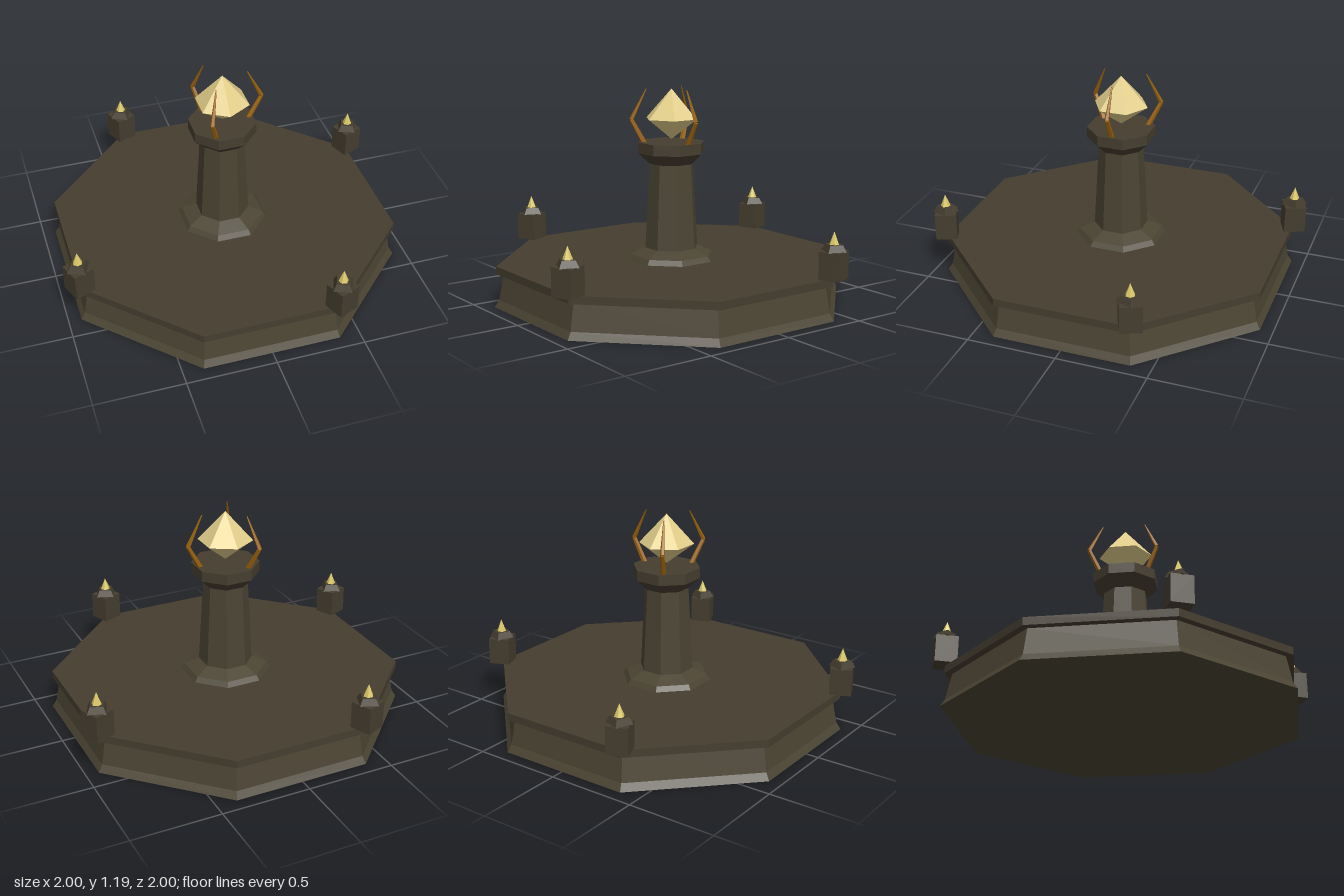
import * as THREE from 'three';

const mat = (name, color) => {
  const m = new THREE.MeshStandardMaterial({ color });
  m.name = name;
  return m;
};

// Faceted copy of a geometry
function faceted(g) {
  const f = g.index ? g.toNonIndexed() : g;
  f.computeVertexNormals();
  return f;
}

function part(name, geometry, material, parent) {
  const mesh = new THREE.Mesh(faceted(geometry), material);
  mesh.name = name;
  parent.add(mesh);
  return mesh;
}

// Solid turned from [radius, y] pairs, bottom to top
function turned(profile, sides, turn = 0) {
  const pts = profile.map(([r, y]) => new THREE.Vector2(r, y));
  return new THREE.LatheGeometry(pts, sides).rotateY(turn);
}

// Tapered square rod between two points
function rod(a, b, ra, rb) {
  const dir = b.clone().sub(a);
  const g = new THREE.CylinderGeometry(rb, ra, dir.length(), 5);
  const q = new THREE.Quaternion().setFromUnitVectors(new THREE.Vector3(0, 1, 0), dir.normalize());
  g.applyQuaternion(q);
  const mid = a.clone().add(b).multiplyScalar(0.5);
  return g.translate(mid.x, mid.y, mid.z);
}

export function createModel() {
  const model = new THREE.Group();
  model.name = 'crystalShrine';

  const stone = mat('stone', 0x4b4433);
  const darkStone = mat('darkStone', 0x453d2f);
  const crystalMat = mat('crystal', 0xe2ce8a);
  const bronze = mat('bronze', 0x9a620c);
  const glow = mat('lampGlow', 0xdcc868);
  const turn = Math.PI / 8;

  // Octagonal platform
  part('plinth', turned([[0, 0], [1.005, 0], [0.98, 0.04], [0.951, 0.187], [0, 0.187]], 8, turn), stone, model);
  part('platformSlab', turned([[0, 0.187], [0.993, 0.187], [0.993, 0.23], [0, 0.23]], 8, turn), darkStone, model);

  // Central pedestal
  part('pedestalFoot', turned([[0, 0.23], [0.255, 0.23], [0.236, 0.258], [0.15, 0.293], [0, 0.293]], 8, turn), stone, model);
  part('pedestalColumn', turned([[0, 0.28], [0.152, 0.28], [0.125, 0.775], [0, 0.775]], 8, turn), stone, model);
  part('pedestalCapital', turned([[0, 0.77], [0.127, 0.77], [0.19, 0.83], [0.19, 0.89], [0, 0.89]], 8, turn), darkStone, model);

  // Floating crystal
  part('crystal', turned([[0, 0.905], [0.153, 1.02], [0, 1.187]], 6), crystalMat, model);

  // Three bent claws around the crystal
  for (let i = 0; i < 3; i++) {
    const claw = new THREE.Group();
    claw.name = 'claw' + (i + 1);
    claw.rotation.y = (i * Math.PI * 2) / 3;
    const foot = new THREE.Vector3(0.15, 0.88, 0);
    const elbow = new THREE.Vector3(0.224, 1.016, 0);
    const tip = new THREE.Vector3(0.14, 1.187, 0);
    part('clawLower', rod(foot, elbow, 0.016, 0.012), bronze, claw);
    part('clawUpper', rod(elbow, tip, 0.013, 0.003), bronze, claw);
    model.add(claw);
  }

  // Four lamp posts on alternate corners
  for (let i = 0; i < 4; i++) {
    const post = new THREE.Group();
    post.name = 'lampPost' + (i + 1);
    const angle = turn + (i * Math.PI) / 2;
    post.position.set(Math.sin(angle) * 0.995, 0.23, Math.cos(angle) * 0.995);
    post.rotation.y = angle;
    part('postBlock', new THREE.BoxGeometry(0.12, 0.152, 0.12).translate(0, 0.076, 0), darkStone, post);
    part('postCap', turned([[0, 0.15], [0.072, 0.15], [0.05, 0.188], [0, 0.188]], 4), darkStone, post);
    part('postFlame', turned([[0, 0.186], [0.028, 0.186], [0, 0.257]], 6), glow, post);
    model.add(post);
  }
  return model;
}
